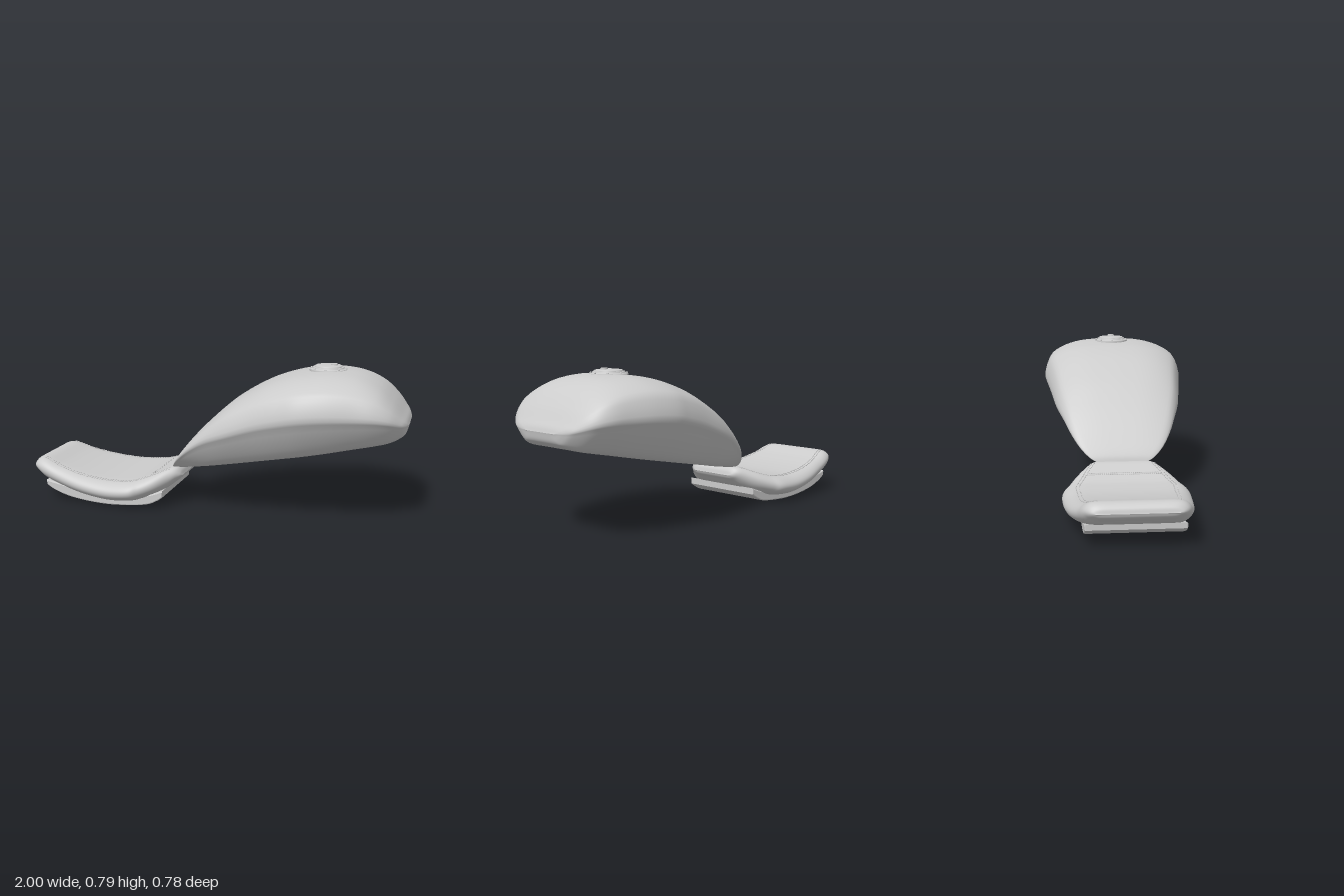
import * as THREE from 'three';
import { mergeGeometries } from 'three/addons/utils/BufferGeometryUtils.js';

// Cross-section rings along x; each station is [x, bottom, widest height, top, half width]
function loft(stations, half, steps) {
  const low = new THREE.CatmullRomCurve3(stations.map(s => new THREE.Vector3(s[0], s[1], s[2])), false, 'catmullrom', 0.5);
  const high = new THREE.CatmullRomCurve3(stations.map(s => new THREE.Vector3(s[0], s[3], s[4])), false, 'catmullrom', 0.5);
  const side = new THREE.SplineCurve(half.map(p => new THREE.Vector2(...p))).getPoints(32);
  const ring = [...side, ...side.slice(1, -1).reverse().map(p => new THREE.Vector2(-p.x, p.y))];
  const n = ring.length, pos = [], idx = [];
  for (let i = 0; i <= steps; i++) {
    const a = low.getPoint(i / steps), b = high.getPoint(i / steps);
    for (const p of ring) {
      const reach = p.y > 0 ? b.y - a.z : a.z - a.y;
      pos.push(a.x, a.z + p.y * reach, p.x * b.z);
    }
  }
  for (let i = 0; i < steps; i++) {
    for (let j = 0; j < n; j++) {
      const a = i * n + j, b = i * n + (j + 1) % n;
      idx.push(a, b, a + n, b, b + n, a + n);
    }
  }
  const geo = new THREE.BufferGeometry();
  geo.setAttribute('position', new THREE.Float32BufferAttribute(pos, 3));
  geo.setIndex(idx);
  geo.computeVertexNormals();
  return geo;
}

export function createModel() {
  const group = new THREE.Group();
  const grey = new THREE.MeshStandardMaterial({ color: 0xcccccc });
  grey.name = 'plain grey';
  const add = (name, geo, parent = group) => {
    const mesh = new THREE.Mesh(geo, grey);
    mesh.name = name;
    parent.add(mesh);
    return mesh;
  };

  // Fuel tank: teardrop body with a flat sloping underside
  add('fuelTank', loft([
    [-0.215, 0.205, 0.205, 0.205, 0.12],
    [-0.2, 0.208, 0.235, 0.245, 0.17],
    [-0.16, 0.216, 0.285, 0.305, 0.22],
    [-0.09, 0.23, 0.35, 0.395, 0.265],
    [0, 0.247, 0.41, 0.49, 0.3],
    [0.12, 0.272, 0.46, 0.595, 0.335],
    [0.27, 0.302, 0.515, 0.683, 0.36],
    [0.4, 0.328, 0.55, 0.73, 0.38],
    [0.5, 0.348, 0.57, 0.75, 0.39],
    [0.62, 0.372, 0.58, 0.76, 0.378],
    [0.75, 0.399, 0.58, 0.745, 0.35],
    [0.85, 0.419, 0.575, 0.7, 0.325],
    [0.92, 0.435, 0.56, 0.635, 0.285],
    [0.97, 0.457, 0.535, 0.568, 0.22],
    [0.99, 0.476, 0.522, 0.54, 0.165],
    [1, 0.515, 0.515, 0.515, 0.1],
  ], [[0, 1], [0.35, 0.97], [0.6, 0.877], [0.8, 0.712], [0.93, 0.488], [1, 0], [0.95, -0.22],
    [0.87, -0.49], [0.77, -0.76], [0.68, -0.93], [0.57, -1], [0.3, -1], [0, -1]], 120));

  // Filler cap: stepped flange, domed lid, bolts and a lock
  const cap = new THREE.Group();
  cap.name = 'fillerCap';
  cap.position.set(0.58, 0, 0);
  group.add(cap);
  const flange = [[0.095, 0.735], [0.095, 0.757], [0.092, 0.76], [0.08, 0.76], [0.08, 0.766], [0.077, 0.769], [0.07, 0.769]];
  const lid = [[0.07, 0.766], [0.07, 0.773], [0.065, 0.776], [0.04, 0.779], [0, 0.78]];
  const lathe = pts => new THREE.LatheGeometry(pts.map(p => new THREE.Vector2(...p)), 48);
  add('capFlange', lathe(flange), cap);
  add('capLid', lathe(lid), cap);
  add('capLock', new THREE.CylinderGeometry(0.017, 0.018, 0.012, 24), cap).position.set(0.03, 0.779, 0);
  for (let i = 0; i < 8; i++) {
    const a = i * Math.PI / 4;
    add('capBolt', new THREE.SphereGeometry(0.005, 10, 8), cap)
      .position.set(0.087 * Math.cos(a), 0.762, 0.087 * Math.sin(a));
  }

  // Seat cushion: stations are [x, bottom, top, half width]
  const cushion = add('seatCushion', loft([
    [-1, 0.18, 0.18, 0.18],
    [-0.99, 0.16, 0.205, 0.205],
    [-0.965, 0.14, 0.222, 0.23],
    [-0.92, 0.11, 0.22, 0.248],
    [-0.83, 0.08, 0.188, 0.265],
    [-0.7, 0.05, 0.158, 0.293],
    [-0.55, 0.032, 0.142, 0.312],
    [-0.42, 0.038, 0.148, 0.316],
    [-0.36, 0.05, 0.16, 0.29],
    [-0.29, 0.075, 0.185, 0.25],
    [-0.23, 0.107, 0.21, 0.2],
    [-0.195, 0.135, 0.212, 0.17],
    [-0.175, 0.15, 0.195, 0.145],
    [-0.165, 0.168, 0.168, 0.12],
  ].map(([x, b, t, w]) => [x, b, (b + t) / 2, t, w]),
  [[0, 1], [0.4, 1], [0.73, 0.98], [0.88, 0.8], [0.97, 0.42], [1, 0], [0.97, -0.42],
    [0.88, -0.77], [0.75, -0.97], [0.4, -1], [0, -1]], 100));

  // Seat pan: curved plate profile stretched across the width
  const pan = new THREE.Shape();
  pan.moveTo(-0.915, 0.108);
  pan.lineTo(-0.915, 0.082);
  pan.splineThru([[-0.87, 0.055], [-0.79, 0.027], [-0.68, 0.008], [-0.55, 0], [-0.42, 0.007],
    [-0.33, 0.02], [-0.275, 0.044], [-0.245, 0.065]].map(p => new THREE.Vector2(...p)));
  pan.lineTo(-0.245, 0.1);
  pan.splineThru([[-0.34, 0.07], [-0.52, 0.05], [-0.74, 0.075], [-0.915, 0.108]].map(p => new THREE.Vector2(...p)));
  const panGeo = new THREE.ExtrudeGeometry(pan, {
    depth: 0.448, curveSegments: 32, bevelEnabled: true, bevelThickness: 0.006, bevelSize: 0.006, bevelOffset: -0.006, bevelSegments: 2,
  });
  panGeo.translate(0, 0, -0.224);
  add('seatPan', panGeo);

  // Stitching: tiny threads dropped onto the cushion along a line of [x, z]
  const ray = new THREE.Raycaster();
  const down = new THREE.Vector3(0, -1, 0);
  const surface = (x, z) => {
    ray.set(new THREE.Vector3(x, 1, z), down);
    const hit = ray.intersectObject(cushion)[0];
    return hit ? hit.point : null;
  };
  const stitch = (name, line, count) => {
    const path = new THREE.CatmullRomCurve3(line.map(([x, z]) => new THREE.Vector3(x, 0, z)));
    const threads = [];
    for (let i = 0; i < count; i++) {
      const [a, b] = [i + 0.15, i + 0.75].map(k => path.getPointAt(k / count)).map(p => surface(p.x, p.z));
      if (!a || !b) continue;
      const thread = new THREE.BoxGeometry(0.005, 0.005, a.distanceTo(b));
      const m = new THREE.Matrix4().lookAt(b, a, new THREE.Vector3(0, 1, 0));
      thread.applyMatrix4(m.setPosition(a.clone().lerp(b, 0.5)));
      threads.push(thread);
    }
    add(name, mergeGeometries(threads));
  };
  for (const s of [1, -1]) {
    for (const inset of [0, 0.016]) {
      stitch('sideStitching', [[-0.94, 0.19], [-0.83, 0.212], [-0.7, 0.234], [-0.55, 0.243], [-0.42, 0.246],
        [-0.36, 0.224], [-0.29, 0.196], [-0.22, 0.16]].map(([x, z]) => [x, s * (z - inset)]), 50);
    }
  }
  for (const x of [-0.32, -0.308]) stitch('crossStitching', [[x, -0.19], [x, 0], [x, 0.19]], 36);

  return group;
}
